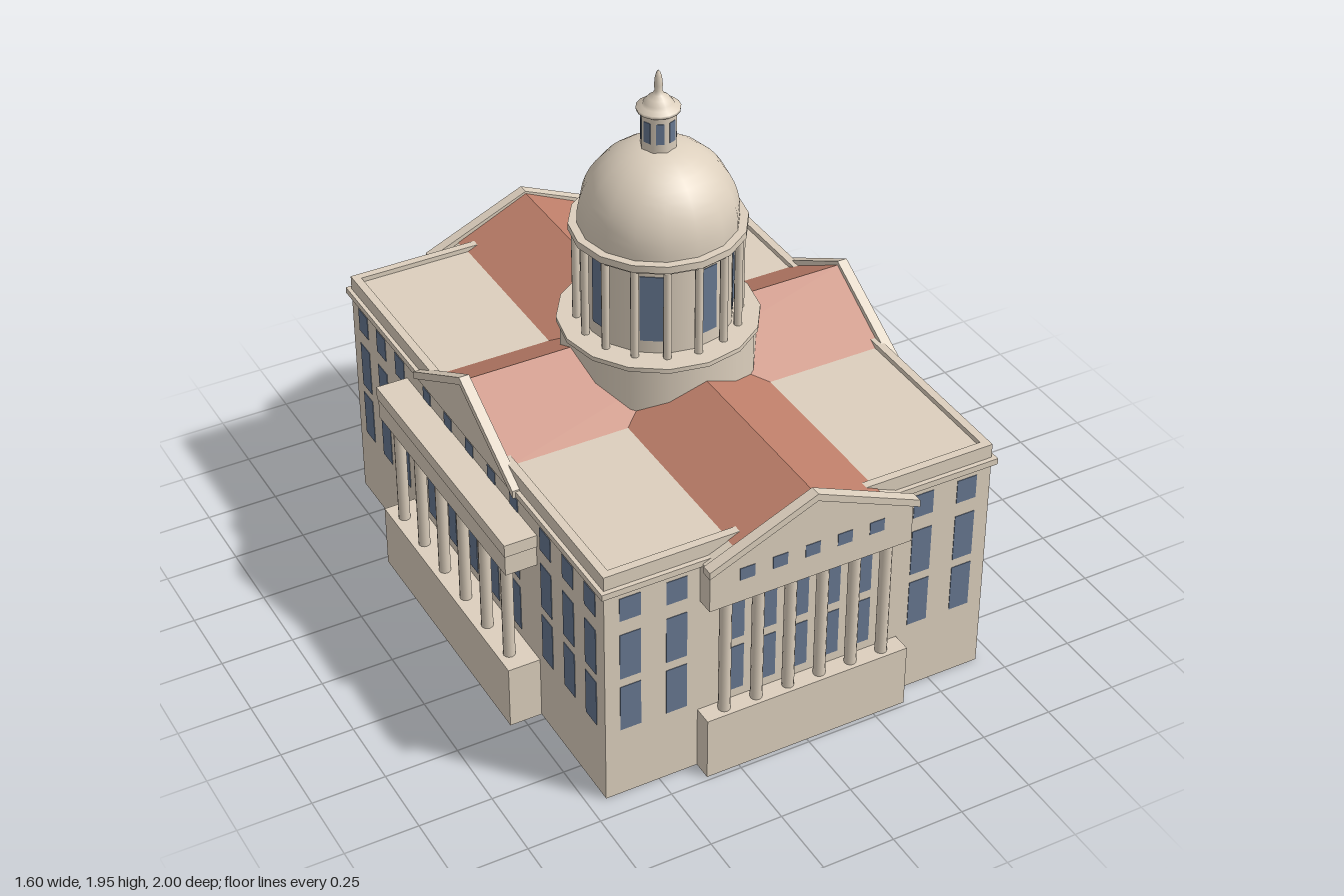
import * as THREE from 'three';

const material = (name, color, side = THREE.FrontSide) => {
  const m = new THREE.MeshStandardMaterial({ color, side });
  m.name = name;
  return m;
};

export function createModel() {
  const stone = material('stone', 0xdccfbd, THREE.DoubleSide);
  const tile = material('roofTile', 0xbe7f6a);
  const glass = material('windowGlass', 0x667790);

  const model = new THREE.Group();
  model.name = 'domedBuilding';

  const add = (parent, name, geometry, mat, x = 0, y = 0, z = 0) => {
    const mesh = new THREE.Mesh(geometry, mat);
    mesh.name = name;
    mesh.position.set(x, y, z);
    parent.add(mesh);
    return mesh;
  };
  // Box given by its extents
  const block = (parent, name, x0, x1, y0, y1, z0, z1, mat = stone) =>
    add(parent, name, new THREE.BoxGeometry(x1 - x0, y1 - y0, z1 - z0), mat,
      (x0 + x1) / 2, (y0 + y1) / 2, (z0 + z1) / 2);
  // Box standing on the ground without its bottom face
  const openBlock = (parent, name, x0, x1, y1, z0, z1) => {
    const { geometry } = block(parent, name, x0, x1, 0, y1, z0, z1);
    geometry.setIndex([...geometry.index.array].filter((_, i) => i < 18 || i >= 24));
    geometry.clearGroups();
  };
  // Outline in x, y pulled along z
  const prism = (parent, name, points, z0, z1, mat = stone) => {
    const shape = new THREE.Shape(points.map(([x, y]) => new THREE.Vector2(x, y)));
    const geometry = new THREE.ExtrudeGeometry(shape, { depth: z1 - z0, bevelEnabled: false });
    geometry.translate(0, 0, z0);
    return add(parent, name, geometry, mat);
  };
  const lathe = (parent, name, profile, sides) =>
    add(parent, name, new THREE.LatheGeometry(profile.map(([r, y]) => new THREE.Vector2(r, y)), sides), stone);
  const pane = (parent, x, y0, y1, z, w) =>
    block(parent, 'window', x - w / 2, x + w / 2, y0, y1, z - 0.002, z + 0.002, glass);
  const column = (parent, x, y0, y1, z, r, sides = 12) =>
    add(parent, 'column', new THREE.CylinderGeometry(r, r, y1 - y0, sides), stone, x, (y0 + y1) / 2, z);
  // Sloping trim of a gable
  const gableTrim = (parent, half, eave, apex, t, z0, z1) =>
    prism(parent, 'gableTrim', [[-half, eave - t], [0, apex - t], [half, eave - t],
      [half, eave], [0, apex], [-half, eave]], z0, z1);

  const floors = [[0.263, 0.435], [0.468, 0.641]];
  const allFloors = [...floors, [0.695, 0.782]];

  // Main body, hollow below its raised floor
  openBlock(model, 'mainBody', -0.688, 0.688, 0.865, -0.92, 0.92);
  add(model, 'floor', new THREE.PlaneGeometry(1.376, 1.84), stone, 0, 0.23, 0).rotation.x = Math.PI / 2;

  // Cornice and parapet lip
  block(model, 'cornice', -0.702, 0.702, 0.81, 0.832, -0.936, 0.936);
  for (const s of [-1, 1]) {
    block(model, 'sideParapet', s * 0.674 - 0.014, s * 0.674 + 0.014, 0.86, 0.882, -0.92, 0.92);
    block(model, 'endParapet', -0.66, 0.66, 0.86, 0.882, s * 0.906 - 0.014, s * 0.906 + 0.014);
  }

  // Crossed gable roofs
  prism(model, 'longRoof', [[-0.265, 0.863], [0.265, 0.863], [0, 0.985]], -0.975, 0.975, tile);
  prism(model, 'crossRoof', [[-0.28, 0.863], [0.28, 0.863], [0, 1.027]], -0.69, 0.69, tile)
    .rotation.y = Math.PI / 2;

  // Narrow fronts, facing +z and -z
  for (const turn of [0, Math.PI]) {
    const front = new THREE.Group();
    front.name = turn ? 'backFacade' : 'frontFacade';
    front.rotation.y = turn;
    model.add(front);
    openBlock(front, 'porticoBase', -0.365, 0.365, 0.23, 0.919, 0.986);
    prism(front, 'entablatureAndGable', [[-0.36, 0.665], [0.36, 0.665], [0.36, 0.82],
      [0, 0.975], [-0.36, 0.82]], 0.9, 0.98);
    gableTrim(front, 0.372, 0.833, 0.994, 0.026, 0.962, 1);
    for (let i = 0; i < 6; i++) column(front, (i - 2.5) * 0.115, 0.23, 0.665, 0.952, 0.02);
    for (let i = -2; i <= 2; i++) {
      floors.forEach(([a, b]) => pane(front, i * 0.115, a, b, 0.92, 0.055));
      pane(front, i * 0.115, 0.748, 0.793, 0.98, 0.052);
    }
    for (const x of [-0.6, -0.44, 0.44, 0.6]) {
      for (const [a, b] of allFloors) pane(front, x, a, b, 0.92, 0.072);
    }
  }

  // Long sides, facing +x and -x
  for (const turn of [Math.PI / 2, -Math.PI / 2]) {
    const side = new THREE.Group();
    side.name = turn > 0 ? 'leftFacade' : 'rightFacade';
    side.rotation.y = turn;
    model.add(side);
    openBlock(side, 'porticoBase', -0.475, 0.475, 0.23, 0.687, 0.8);
    block(side, 'entablature', -0.473, 0.473, 0.615, 0.69, 0.67, 0.797);
    block(side, 'porticoRoof', -0.478, 0.478, 0.69, 0.735, 0.67, 0.8);
    prism(side, 'gableWall', [[-0.355, 0.812], [0.355, 0.812], [0.355, 0.82], [0, 1.02],
      [-0.355, 0.82]], 0.66, 0.703);
    gableTrim(side, 0.365, 0.838, 1.042, 0.028, 0.678, 0.713);
    for (let i = 0; i < 6; i++) column(side, (i - 2.5) * 0.16, 0.23, 0.615, 0.76, 0.02);
    for (let i = -2; i <= 2; i++) {
      for (const [a, b] of allFloors) pane(side, i * 0.16, a, b, 0.688, 0.055);
    }
    for (const x of [-0.83, -0.685, -0.535, 0.535, 0.685, 0.83]) {
      for (const [a, b] of allFloors) pane(side, x, a, b, 0.688, 0.072);
    }
  }

  // Sixteen-sided drum with a ring of columns
  const drum = new THREE.Group();
  drum.name = 'drum';
  model.add(drum);
  const ring = (name, r, y0, y1, sides = 16) =>
    add(drum, name, new THREE.CylinderGeometry(r, r, y1 - y0, sides), stone, 0, (y0 + y1) / 2, 0);
  ring('drumBase', 0.32, 0.84, 1.05);
  ring('drumLedge', 0.332, 1.048, 1.064);
  ring('drumWall', 0.243, 1.06, 1.39);
  ring('drumCornice', 0.28, 1.385, 1.395);
  ring('drumCorniceRim', 0.288, 1.393, 1.418);
  for (let i = 0; i < 16; i++) {
    const a = (i * Math.PI) / 8;
    column(drum, 0.265 * Math.sin(a), 1.06, 1.388, 0.265 * Math.cos(a), 0.014, 8);
  }
  // Windows turned about the vertical axis
  const ringWindows = (offset, r, y0, y1, w) => {
    for (let i = 0; i < 8; i++) {
      const bay = new THREE.Group();
      bay.name = 'windowBay';
      bay.rotation.y = offset + (i * Math.PI) / 4;
      drum.add(bay);
      pane(bay, 0, y0, y1, r, w);
    }
  };
  ringWindows(Math.PI / 16, 0.239, 1.11, 1.35, 0.075);

  // Dome
  const domeProfile = [[0.26, 1.41]];
  for (let i = 0; i <= 12; i++) {
    const a = (i * Math.PI) / 24;
    domeProfile.push([Math.max(0.26 * Math.cos(a), 0), 1.435 + 0.26 * Math.sin(a)]);
  }
  lathe(model, 'dome', domeProfile, 16);

  // Lantern, cap and spire
  ring('lantern', 0.059, 1.68, 1.815, 8);
  ringWindows(Math.PI / 8, 0.0545, 1.718, 1.79, 0.026);
  lathe(model, 'spire', [[0.056, 1.81], [0.07, 1.815], [0.071, 1.826], [0.052, 1.832], [0.047, 1.843],
    [0.034, 1.858], [0.019, 1.869], [0.012, 1.882], [0.014, 1.9], [0.011, 1.93], [0.006, 1.945],
    [0, 1.953]], 16);

  return model;
}
